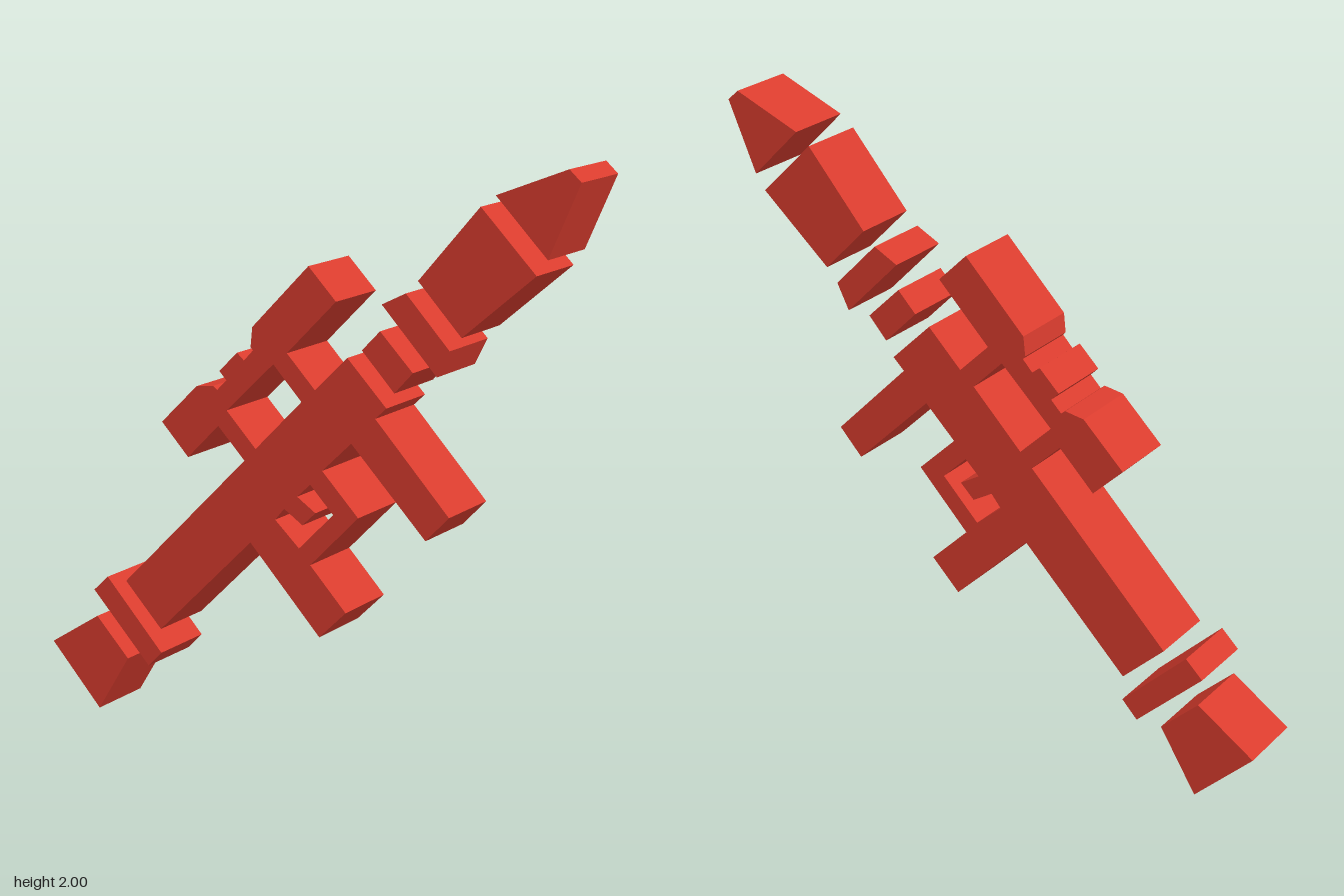
import * as THREE from 'three';

const DEPTH = 0.226;
const red = new THREE.MeshStandardMaterial({ color: 0xd93c2e });
red.name = 'red';

const points = (list) => list.map(([x, y]) => new THREE.Vector2(x, y));

// Straight slab cut from an outline, centred on z = 0
function slab(name, outline, holes = []) {
  const shape = new THREE.Shape(points(outline));
  holes.forEach((hole) => shape.holes.push(new THREE.Path(points(hole))));
  const geometry = new THREE.ExtrudeGeometry(shape, { depth: DEPTH, bevelEnabled: false });
  geometry.translate(0, 0, -DEPTH / 2);
  const mesh = new THREE.Mesh(geometry, red);
  mesh.name = name;
  return mesh;
}

export function createModel() {
  const model = new THREE.Group();
  model.name = 'rocketLauncher';

  // Rocket pieces, from tip to neck
  model.add(slab('noseTip', [[0.96, 2], [0.725, 1.907], [0.9, 1.735], [1, 1.965]]));
  model.add(slab('warhead', [[0.676, 1.87], [0.467, 1.63], [0.62, 1.475], [0.865, 1.685]]));
  model.add(slab('warheadCollar', [[0.425, 1.588], [0.34, 1.545], [0.537, 1.345], [0.58, 1.43]]));
  model.add(slab('rocketNeck', [[0.335, 1.462], [0.27, 1.395], [0.388, 1.276], [0.453, 1.347]]));

  // Tube with grips, trigger guard and sight in one continuous outline
  const body = [
    [-0.67, 0.485], [-0.525, 0.342], [-0.153, 0.71],
    // rear grip
    [0.115, 0.44], [0.215, 0.54], [0.08, 0.675],
    // trigger guard
    [0.26, 0.86], [0.125, 0.992], [0.233, 1.096],
    // front grip
    [0.505, 0.828], [0.587, 0.915], [0.32, 1.187],
    // muzzle
    [0.36, 1.225], [0.217, 1.365], [0.098, 1.247],
    // sight
    [-0.008, 1.352], [0.175, 1.535], [0.073, 1.635], [-0.14, 1.42], [-0.147, 1.355],
    [-0.138, 1.345], [-0.173, 1.308], [-0.2, 1.33], [-0.27, 1.262], [-0.243, 1.235],
    [-0.28, 1.198], [-0.295, 1.21], [-0.362, 1.2], [-0.505, 1.062], [-0.4, 0.958],
    [-0.277, 1.08], [-0.174, 0.98],
  ];
  const sightOpening = [[-0.06, 1.31], [0.047, 1.203], [-0.13, 1.025], [-0.243, 1.136]];
  // The opening wraps around the trigger
  const guardOpening = [
    [-0.055, 0.803], [0.037, 0.723], [0.167, 0.855], [0.08, 0.94],
    [0.03, 0.893], [0.1, 0.85], [0.05, 0.802], [-0.02, 0.845],
  ];
  model.add(slab('launcherBody', body, [sightOpening, guardOpening]));

  // Rear exhaust
  model.add(slab('rearRing', [[-0.75, 0.485], [-0.81, 0.428], [-0.58, 0.2], [-0.525, 0.257]]));
  model.add(slab('exhaustBell', [[-0.8, 0.335], [-1, 0.205], [-0.8, 0], [-0.67, 0.207]]));

  return model;
}
